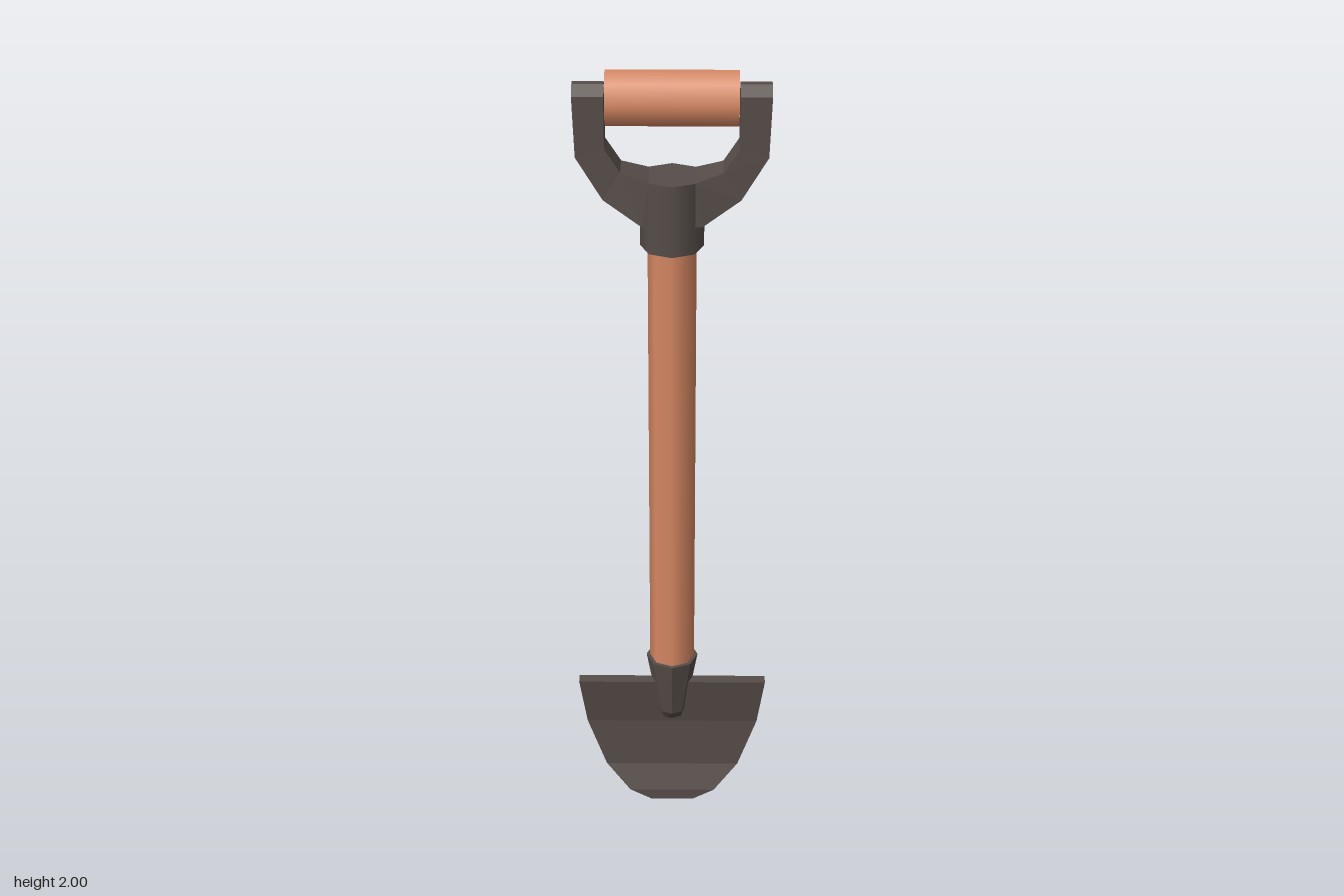
import * as THREE from 'three';

const wood = new THREE.MeshStandardMaterial({ color: 0xd58762 });
const metal = new THREE.MeshStandardMaterial({ color: 0x564d49 });

// Skins a list of equal-sized closed rings of [x, y, z] points, with capped ends.
function loft(rings) {
  const n = rings[0].length, index = [];
  for (let i = 0; i < rings.length - 1; i++) {
    for (let j = 0; j < n; j++) {
      const k = (j + 1) % n;
      const a = i * n + j, b = i * n + k, c = b + n, d = a + n;
      index.push(a, b, c, a, c, d);
    }
  }
  const top = (rings.length - 1) * n;
  for (let j = 1; j < n - 1; j++) {
    index.push(0, j + 1, j, top, top + j, top + j + 1);
  }
  const indexed = new THREE.BufferGeometry();
  indexed.setAttribute('position', new THREE.Float32BufferAttribute(rings.flat(2), 3));
  indexed.setIndex(index);
  const geometry = indexed.toNonIndexed();
  geometry.computeVertexNormals();
  return geometry;
}

export function createModel() {
  const model = new THREE.Group();
  model.name = 'shovel';
  const add = (name, geometry, material, y = 0) => {
    const mesh = new THREE.Mesh(geometry, material);
    mesh.name = name;
    mesh.position.y = y;
    model.add(mesh);
    return mesh;
  };

  // Blade: bent plate, rows of [y, half width, front z]
  const rows = [[0, 0.055, 0.027], [0.03, 0.11, 0.027], [0.1, 0.172, 0.004], [0.24, 0.22, 0.004], [0.38, 0.238, 0.027]];
  add('blade', loft(rows.map(([y, w, z]) => [
    [-w, y, z], [w, y, z], [w, y, z - 0.029], [-w, y, z - 0.029],
  ])), metal);

  // Socket: octagonal cone pinched flat onto the blade, [y, radius x, radius z, centre z]
  const socket = [[0.25, 0.03, 0.014, -0.008], [0.285, 0.036, 0.034, 0], [0.45, 0.065, 0.065, 0]];
  add('socket', loft(socket.map(([y, rx, rz, cz]) => Array.from({ length: 8 }, (_, j) => {
    const a = j * Math.PI / 4;
    return [rx * Math.sin(a), y, cz + rz * Math.cos(a)];
  }))), metal);

  // Shaft and collar
  add('shaft', new THREE.CylinderGeometry(0.056, 0.056, 1.2, 8), wood, 1.02);
  add('collar', new THREE.CylinderGeometry(0.073, 0.073, 0.17, 8), metal, 1.67);

  // Yoke: one bar from arm tip to arm tip, [outer x, outer y, inner x, inner y, half depth]
  const arm = [
    [0.22, 1.97, 0.15, 1.97, 0.01],
    [0.22, 1.95, 0.15, 1.95, 0.036],
    [0.215, 1.81, 0.15, 1.83, 0.036],
    [0.155, 1.71, 0.115, 1.775, 0.038],
    [0.068, 1.65, 0.052, 1.755, 0.05],
  ];
  const section = (s) => ([ox, oy, ix, iy, d]) => [
    [s * ix, iy, d], [s * ox, oy, d], [s * ox, oy, -d], [s * ix, iy, -d],
  ];
  add('yoke', loft([...arm.map(section(-1)), ...arm.slice().reverse().map(section(1))]), metal);

  // Grip bar between the arms
  const grip = add('grip', new THREE.CylinderGeometry(0.065, 0.065, 0.295, 8), wood, 1.935);
  grip.rotation.z = Math.PI / 2;

  return model;
}
